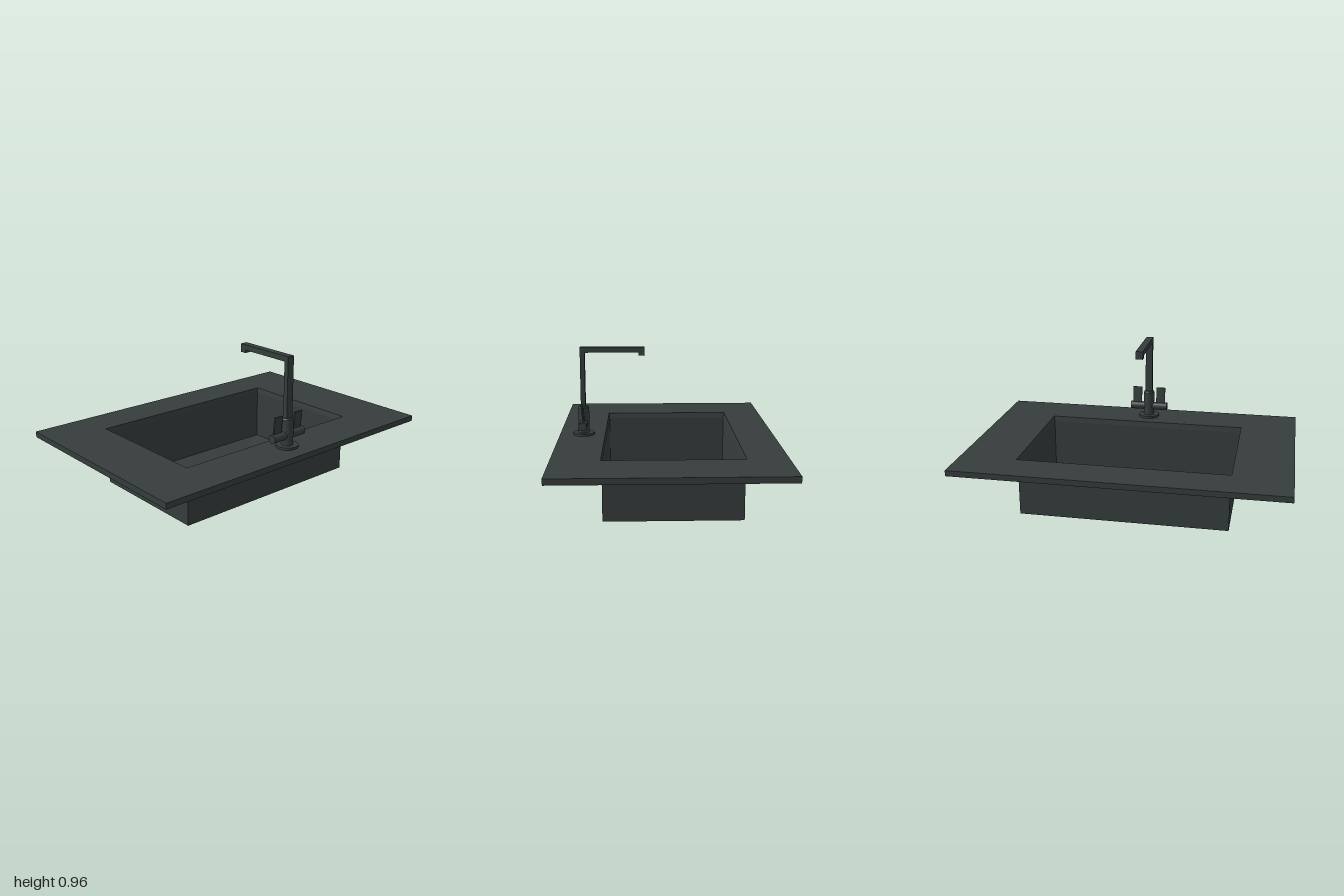
import * as THREE from 'three';

export function createModel() {
  const group = new THREE.Group();
  const graphite = new THREE.MeshStandardMaterial({ color: 0x363d3d });
  graphite.name = 'graphite';
  const graphiteShell = new THREE.MeshStandardMaterial({ color: 0x363d3d, side: THREE.DoubleSide });
  graphiteShell.name = 'graphiteShell';

  const add = (name, geometry, x = 0, y = 0, z = 0, material = graphite) => {
    const mesh = new THREE.Mesh(geometry, material);
    mesh.name = name;
    mesh.position.set(x, y, z);
    group.add(mesh);
    return mesh;
  };
  // Box given by its lower and upper limits
  const block = (name, [x0, x1], [y0, y1], [z0, z1]) =>
    add(name, new THREE.BoxGeometry(x1 - x0, y1 - y0, z1 - z0),
      (x0 + x1) / 2, (y0 + y1) / 2, (z0 + z1) / 2);

  // Flat-sided shell through rectangular rings [x0, x1, half depth, y], optionally closed at the last
  const shell = (name, rings, closed) => {
    const corners = rings.map(([x0, x1, z, y]) => [[x0, y, -z], [x1, y, -z], [x1, y, z], [x0, y, z]]);
    const points = [];
    const quad = (a, b, c, d) => points.push(...a, ...b, ...c, ...a, ...c, ...d);
    for (let r = 0; r < rings.length - 1; r++) {
      for (let i = 0; i < 4; i++) {
        const j = (i + 1) % 4;
        quad(corners[r][i], corners[r][j], corners[r + 1][j], corners[r + 1][i]);
      }
    }
    if (closed) quad(...[...corners.at(-1)].reverse());
    const geometry = new THREE.BufferGeometry();
    geometry.setAttribute('position', new THREE.Float32BufferAttribute(points, 3));
    geometry.computeVertexNormals();
    return add(name, geometry, 0, 0, 0, graphiteShell);
  };

  // Worktop, open below: outer skirt, then the top face in to the bowl opening
  const top = 0.406;
  shell('worktop', [[-0.671, 0.671, 1, 0.37], [-0.672, 0.672, 1, top], [-0.43, 0.387, 0.645, top]], false);

  // Thin bowl: slanted lip, straight walls, sloping floor, flat centre
  shell('bowl', [
    [-0.43, 0.387, 0.645, top],
    [-0.425, 0.383, 0.64, 0.37],
    [-0.425, 0.383, 0.64, 0.046],
    [-0.115, 0.205, 0.167, 0],
  ], true);

  // Tap: base flange, body, cross bar
  const tapX = 0.521;
  add('tapBase', new THREE.CylinderGeometry(0.067, 0.067, 0.016, 32), tapX, 0.413, 0);
  add('tapBody', new THREE.CylinderGeometry(0.035, 0.035, 0.16, 24), tapX, 0.5, 0);
  add('tapBodyCap', new THREE.CylinderGeometry(0.029, 0.035, 0.007, 24), tapX, 0.5835, 0);
  add('crossBar', new THREE.CylinderGeometry(0.026, 0.026, 0.25, 20).rotateX(Math.PI / 2), tapX, 0.48, 0);

  // Flat lever on each side, tipped slightly outward
  for (const side of [-1, 1]) {
    const lever = add('lever', new THREE.BoxGeometry(0.01, 0.125, 0.06), tapX, 0.548, side * 0.08);
    lever.rotation.z = -0.1;
  }

  // Square spout with its outlet
  block('spoutColumn', [0.507, 0.536], [0.58, 0.926], [-0.023, 0.023]);
  block('spoutArm', [0.135, 0.536], [0.926, 0.959], [-0.023, 0.023]);
  block('spoutOutlet', [0.135, 0.174], [0.908, 0.926], [-0.023, 0.023]);

  return group;
}
